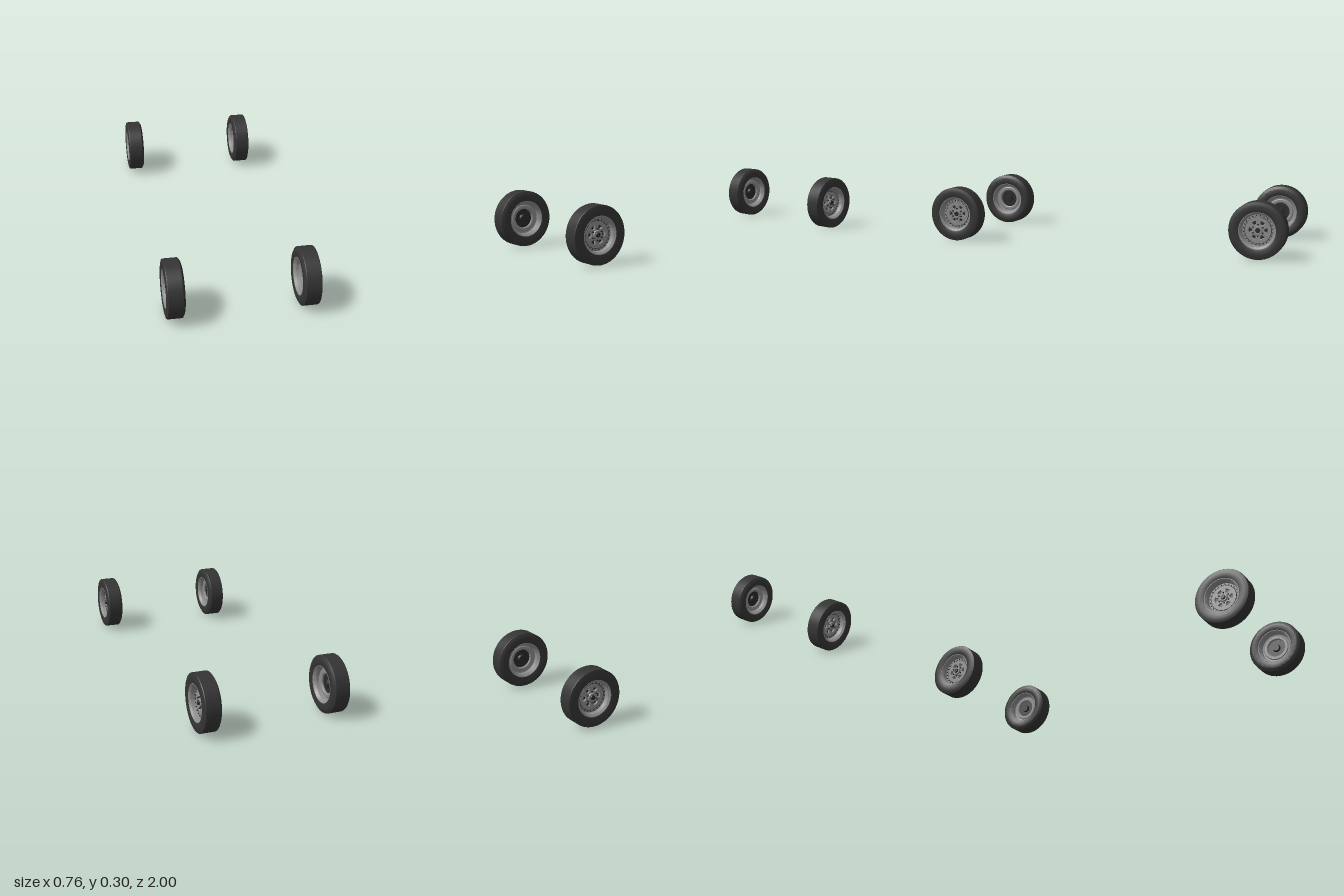
import * as THREE from 'three';
import { toCreasedNormals } from 'three/addons/utils/BufferGeometryUtils.js';

const rubber = new THREE.MeshStandardMaterial({ name: 'tyre rubber', color: 0x343434 });
const steel = new THREE.MeshStandardMaterial({ name: 'rim grey', color: 0x8c8c8c });
const dark = new THREE.MeshStandardMaterial({ name: 'dark metal', color: 0x2a2a2a });

const add = (group, name, geometry, material) => {
  const mesh = new THREE.Mesh(geometry, material);
  mesh.name = name;
  group.add(mesh);
  return mesh;
};

// Turned part: [radius, x] pairs around the axle, which runs along x
const turned = (profile, segments = 64) => toCreasedNormals(
  new THREE.LatheGeometry(profile.map(([r, x]) => new THREE.Vector2(r, x)), segments)
    .rotateZ(-Math.PI / 2), 0.45);

const cylinder = (r0, r1, length, x, sides = 24) =>
  new THREE.CylinderGeometry(r1, r0, length, sides).rotateZ(-Math.PI / 2).translate(x, 0, 0);

// Centre disc with six tapered windows between the spokes
function spokeDisc() {
  const shape = new THREE.Shape().absarc(0, 0, 0.067, 0, Math.PI * 2);
  for (let i = 0; i < 6; i++) {
    const a = (i / 6) * Math.PI * 2;
    const hole = new THREE.Path();
    hole.absarc(0, 0, 0.05, a - 0.3, a + 0.3, false);
    hole.absarc(0, 0, 0.03, a + 0.2, a - 0.2, true);
    hole.closePath();
    shape.holes.push(hole);
  }
  return new THREE.ExtrudeGeometry(shape, {
    depth: 0.008, bevelEnabled: true, bevelThickness: 0.002, bevelSize: 0.002,
    bevelSegments: 1, curveSegments: 32,
  }).rotateY(Math.PI / 2).translate(0.004, 0, 0);
}

// A wheel whose outer face looks along +x
function createWheel() {
  const wheel = new THREE.Group();

  add(wheel, 'tyre', turned([
    [0.090, -0.036], [0.094, -0.041], [0.104, -0.045], [0.128, -0.046], [0.134, -0.044],
    [0.147, -0.036], [0.148, -0.034], [0.148, 0.038], [0.146, 0.041], [0.136, 0.044],
    [0.124, 0.046], [0.104, 0.045], [0.095, 0.042], [0.090, 0.037],
  ]), rubber);

  // Barrel with a deep outer dish and a stepped inner side
  add(wheel, 'rim', turned([
    [0.090, -0.034], [0.096, -0.041], [0.096, -0.043], [0.093, -0.043], [0.088, -0.037],
  ].reverse().map(([r, x]) => [r, x]).concat([
    [0.090, -0.034], [0.090, 0.034], [0.096, 0.041], [0.096, 0.043], [0.093, 0.043],
    [0.088, 0.038], [0.084, 0.034], [0.081, 0.012], [0.064, 0.012], [0.064, 0.004],
    [0.050, 0.004], [0.050, -0.012], [0.055, -0.016], [0.067, -0.016], [0.072, -0.012],
    [0.080, -0.014], [0.082, -0.030], [0.088, -0.037],
  ])), steel);

  add(wheel, 'spokeDisc', spokeDisc(), steel);
  add(wheel, 'brakePlate', cylinder(0.052, 0.052, 0.005, -0.002, 48), dark);
  add(wheel, 'innerHub', cylinder(0.018, 0.022, 0.012, -0.010), dark);

  // Stepped hub and its cap
  add(wheel, 'hub', cylinder(0.023, 0.020, 0.008, 0.018), steel);
  add(wheel, 'hubCap', cylinder(0.013, 0.011, 0.008, 0.025), dark);

  // Dark seam around the centre disc
  add(wheel, 'seamRing', new THREE.TorusGeometry(0.0685, 0.0016, 6, 64)
    .rotateY(Math.PI / 2).translate(0.0125, 0, 0), dark);

  // Small bolts around the disc and larger nuts around the hub
  const ring = (name, count, radius, geometry, material) => {
    for (let i = 0; i < count; i++) {
      const a = ((i + 0.5) / count) * Math.PI * 2;
      add(wheel, name, geometry, material).position.set(0, radius * Math.sin(a), radius * Math.cos(a));
    }
  };
  ring('rimBolt', 24, 0.075, cylinder(0.0032, 0.0028, 0.005, 0.014, 6), dark);
  ring('wheelNut', 6, 0.029, cylinder(0.0045, 0.0038, 0.009, 0.018, 6), dark);
  return wheel;
}

export function createModel() {
  const model = new THREE.Group();
  model.name = 'wheelSet';
  for (const side of [1, -1]) {
    for (const end of [1, -1]) {
      const wheel = createWheel();
      wheel.name = `${end > 0 ? 'front' : 'rear'}${side > 0 ? 'Left' : 'Right'}Wheel`;
      wheel.position.set(side * 0.335, 0.148, end * 0.852);
      if (side < 0) wheel.rotation.y = Math.PI;
      model.add(wheel);
    }
  }
  return model;
}
